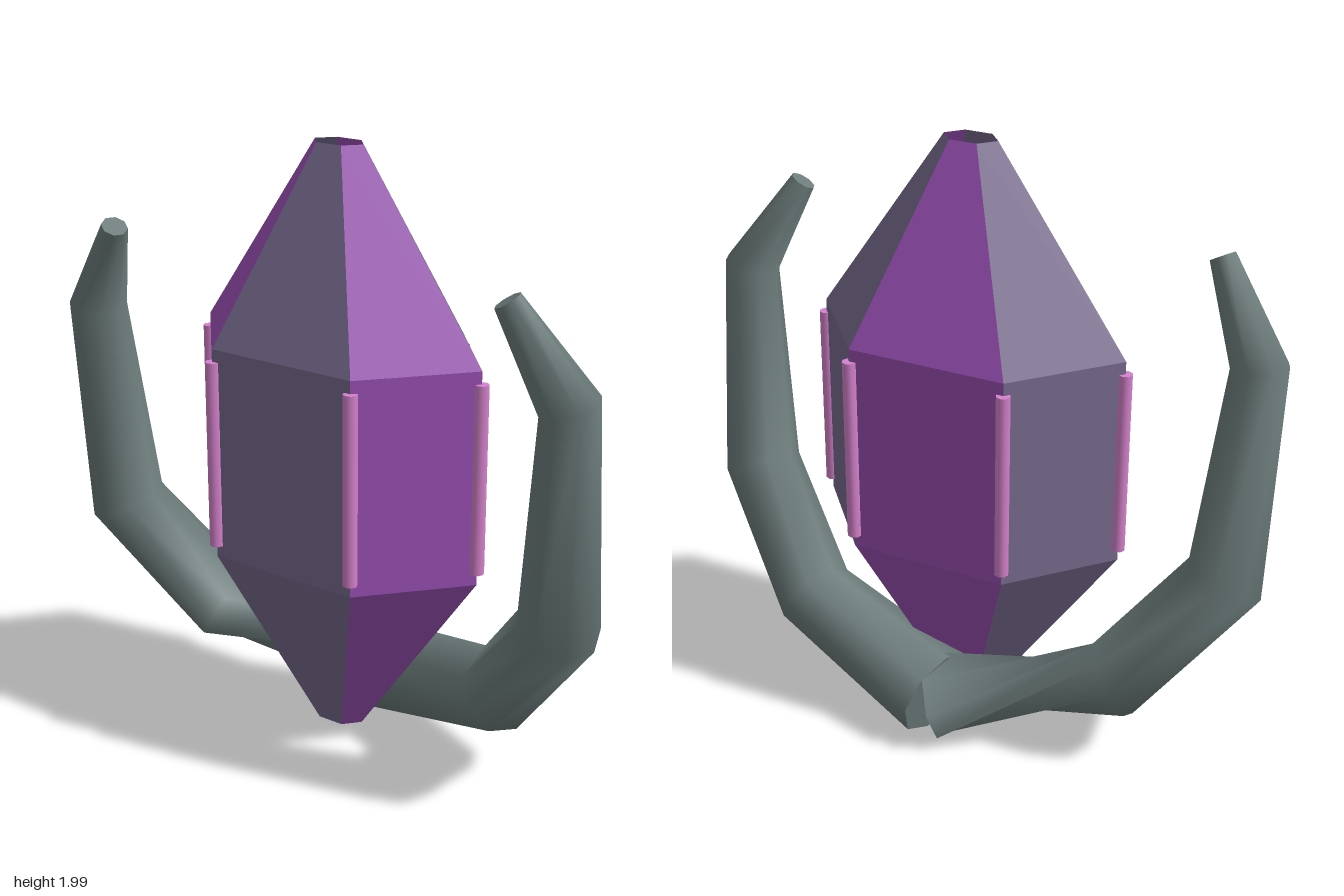
import * as THREE from 'three';

const mat = (name, color, extra = {}) => {
  const m = new THREE.MeshStandardMaterial({ color, ...extra });
  m.name = name;
  return m;
};

// Tapered eight-sided tube through centre points [x, y, z, radius].
// startTwist turns the first ring about the path, wringing the first section.
function armGeometry(path, startTwist) {
  const sides = 8;
  const centres = path.map(([x, y, z]) => new THREE.Vector3(x, y, z));
  const positions = [], index = [];
  const rings = centres.map((c, i) => {
    const t = new THREE.Vector3();
    if (i > 0) t.add(c.clone().sub(centres[i - 1]).normalize());
    if (i < centres.length - 1) t.add(centres[i + 1].clone().sub(c).normalize());
    t.normalize();
    const u = new THREE.Vector3(0, 0, 1).addScaledVector(t, -t.z).normalize();
    const v = t.clone().cross(u);
    return Array.from({ length: sides }, (_, k) => {
      const a = (k / sides) * Math.PI * 2 + (i === 0 ? startTwist : 0);
      return c.clone()
        .addScaledVector(u, Math.cos(a) * path[i][3])
        .addScaledVector(v, Math.sin(a) * path[i][3]);
    });
  });
  rings.forEach((ring) => ring.forEach((p) => positions.push(p.x, p.y, p.z)));
  for (let i = 0; i < rings.length - 1; i++) {
    for (let k = 0; k < sides; k++) {
      const a = i * sides + k, b = i * sides + (k + 1) % sides;
      index.push(a, b, b + sides, a, b + sides, a + sides);
    }
  }
  // Flat end caps with their own vertices
  [[rings[0], true], [rings[rings.length - 1], false]].forEach(([ring, flip]) => {
    const base = positions.length / 3;
    ring.forEach((p) => positions.push(p.x, p.y, p.z));
    for (let k = 1; k < sides - 1; k++) {
      index.push(base, base + (flip ? k + 1 : k), base + (flip ? k : k + 1));
    }
  });
  const g = new THREE.BufferGeometry();
  g.setAttribute('position', new THREE.Float32BufferAttribute(positions, 3));
  g.setIndex(index);
  g.computeVertexNormals();
  return g;
}

export function createModel() {
  const model = new THREE.Group();
  model.name = 'crystalWithArms';
  const panel = { flatShading: true, side: THREE.DoubleSide };
  const purple = mat('purple', 0x9a4fb4, panel);
  const greyViolet = mat('greyViolet', 0x786b8e, panel);
  const pink = mat('pink', 0xd582cc);
  const slate = mat('slate', 0x6d7d7c, { side: THREE.DoubleSide });

  const add = (parent, name, geometry, material) => {
    const mesh = new THREE.Mesh(geometry, material);
    mesh.name = name;
    parent.add(mesh);
    return mesh;
  };

  // Hollow six-sided crystal, open at both ends, in alternating colours
  const crystal = new THREE.Group();
  crystal.name = 'crystal';
  model.add(crystal);
  const depth = 0.667, centreZ = 0.03, radius = 0.522;
  const profile = [[0.09, 0.07], [radius, 0.69], [radius, 1.38], [0.09, 2]]
    .map(([r, y]) => new THREE.Vector2(r, y));
  for (let i = 0; i < 6; i++) {
    const start = Math.PI / 6 + i * Math.PI / 3;
    const side = new THREE.LatheGeometry(profile, 1, start, Math.PI / 3);
    side.scale(1, 1, depth).translate(0, 0, centreZ);
    add(crystal, 'crystalPanel', side, i % 2 ? greyViolet : purple);

    // Rod along each upright edge
    const rod = new THREE.CylinderGeometry(0.023, 0.023, 0.61, 8);
    rod.translate(Math.sin(start) * radius, 1.035, Math.cos(start) * radius * depth + centreZ);
    add(model, 'edgeRod', rod, pink);
  }

  // Curved arms; the right one is wrung near its root
  const path = [
    [0, 0.16, -0.21, 0.155],
    [0.56, 0.3, -0.055, 0.135],
    [0.855, 0.672, 0.105, 0.129],
    [0.892, 1.385, 0.165, 0.094],
    [0.727, 1.68, 0.245, 0.043],
  ];
  add(model, 'leftArm', armGeometry(path, 0), slate);
  const mirrored = path.map(([x, y, z, r]) => [-x, y, z, r]);
  add(model, 'rightArm', armGeometry(mirrored, Math.PI * 0.75), slate);

  return model;
}
